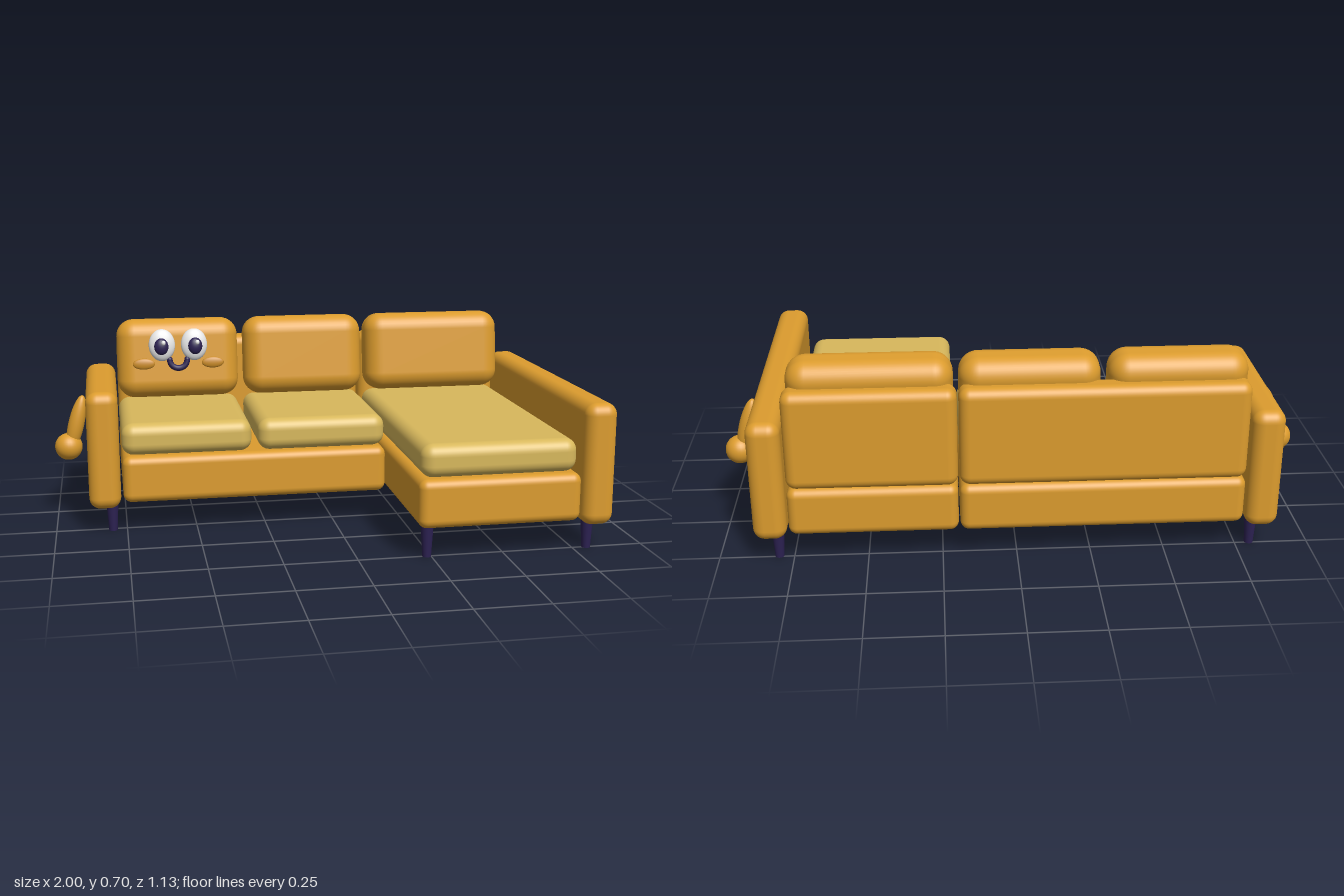
import * as THREE from 'three';
import { RoundedBoxGeometry } from 'three/addons/geometries/RoundedBoxGeometry.js';

const material = (name, color) => {
  const m = new THREE.MeshStandardMaterial({ color });
  m.name = name;
  return m;
};

export function createModel() {
  const model = new THREE.Group();
  model.name = 'cornerSofa';
  const mustard = material('mustard fabric', 0xdc9c2e);
  const sand = material('sand fabric', 0xd8b85c);
  const plum = material('dark plum', 0x2c2152);
  const white = material('eye white', 0xeeeeee);
  const blush = material('cheek ochre', 0xc88a26);

  const add = (parent, name, geometry, mat, x = 0, y = 0, z = 0) => {
    const mesh = new THREE.Mesh(geometry, mat);
    mesh.name = name;
    mesh.position.set(x, y, z);
    parent.add(mesh);
    return mesh;
  };
  // Padded box given by its extents
  const pad = (name, mat, [x0, x1], [y0, y1], [z0, z1], r) =>
    add(model, name, new RoundedBoxGeometry(x1 - x0, y1 - y0, z1 - z0, 5, r), mat,
      (x0 + x1) / 2, (y0 + y1) / 2, (z0 + z1) / 2);
  const ellipsoid = (parent, name, mat, [x, y, z], [rx, ry, rz]) => {
    const mesh = add(parent, name, new THREE.SphereGeometry(1, 28, 18), mat, x, y, z);
    mesh.scale.set(rx, ry, rz);
    return mesh;
  };

  // Base and back of the two-seat section and the chaise
  for (const [side, x, front] of [['seat', [-0.76, 0.19], 0.075], ['chaise', [0.195, 0.757], 0.562]]) {
    pad(side + 'Base', mustard, x, [0.11, 0.278], [-0.566, front], 0.03);
    pad(side + 'Back', mustard, x, [0.275, 0.617], [-0.566, -0.466], 0.035);
  }

  // Armrests: short on the right, full length beside the chaise
  pad('rightArmrest', mustard, [-0.88, -0.768], [0.09, 0.512], [-0.566, 0.078], 0.04);
  pad('leftArmrest', mustard, [0.764, 0.876], [0.09, 0.512], [-0.566, 0.564], 0.04);

  // Seat cushions and leaning back cushions
  const tilt = -0.12;
  for (const [side, x, front] of [
    ['right', [-0.76, -0.298], 0.065], ['middle', [-0.275, 0.188], 0.065], ['chaise', [0.205, 0.745], 0.548],
  ]) {
    pad(side + 'SeatCushion', sand, x, [0.278, 0.393], [-0.48, front], 0.042);
    pad(side + 'BackCushion', mustard, x, [0.397, 0.697], [-0.51, -0.35], 0.066).rotation.x = tilt;
  }

  // Tapered legs
  const legShape = new THREE.CylinderGeometry(0.023, 0.015, 0.13, 20);
  for (const [x, z] of [[-0.8, -0.495], [-0.8, 0.015], [0.8, -0.495], [0.8, 0.5], [0.235, 0.5]])
    add(model, 'leg', legShape, plum, x, 0.065, z);

  // Little arms with round hands
  for (const s of [-1, 1]) {
    const limb = new THREE.Group();
    limb.name = s > 0 ? 'leftLimb' : 'rightLimb';
    ellipsoid(limb, 'forearm', mustard, [s * 0.92, 0.345, -0.204], [0.029, 0.112, 0.031]).rotation.z = s * 0.25;
    ellipsoid(limb, 'hand', mustard, [s * 0.95, 0.263, -0.204], [0.05, 0.05, 0.05]);
    model.add(limb);
  }

  // Face on the right back cushion
  const face = new THREE.Group();
  face.name = 'face';
  face.position.set(-0.53, 0.547, -0.43);
  face.rotation.x = tilt;
  model.add(face);
  for (const s of [-1, 1]) {
    ellipsoid(face, 'eye', white, [s * 0.061, 0.05, 0.08], [0.05, 0.061, 0.025]);
    ellipsoid(face, 'pupil', plum, [s * 0.064, 0.045, 0.1], [0.027, 0.032, 0.018]);
    ellipsoid(face, 'eyeGlint', white, [s * 0.064 + 0.008, 0.059, 0.116], [0.008, 0.009, 0.007]);
    ellipsoid(face, 'cheek', blush, [s * 0.131, -0.02, 0.08], [0.042, 0.021, 0.009]);
  }
  const smile = new THREE.TorusGeometry(0.033, 0.011, 12, 28, Math.PI);
  add(face, 'smile', smile, plum, 0, -0.006, 0.082).rotation.z = Math.PI;
  for (const s of [-1, 1])
    ellipsoid(face, 'smileTip', plum, [s * 0.033, -0.006, 0.082], [0.011, 0.011, 0.011]);

  return model;
}
